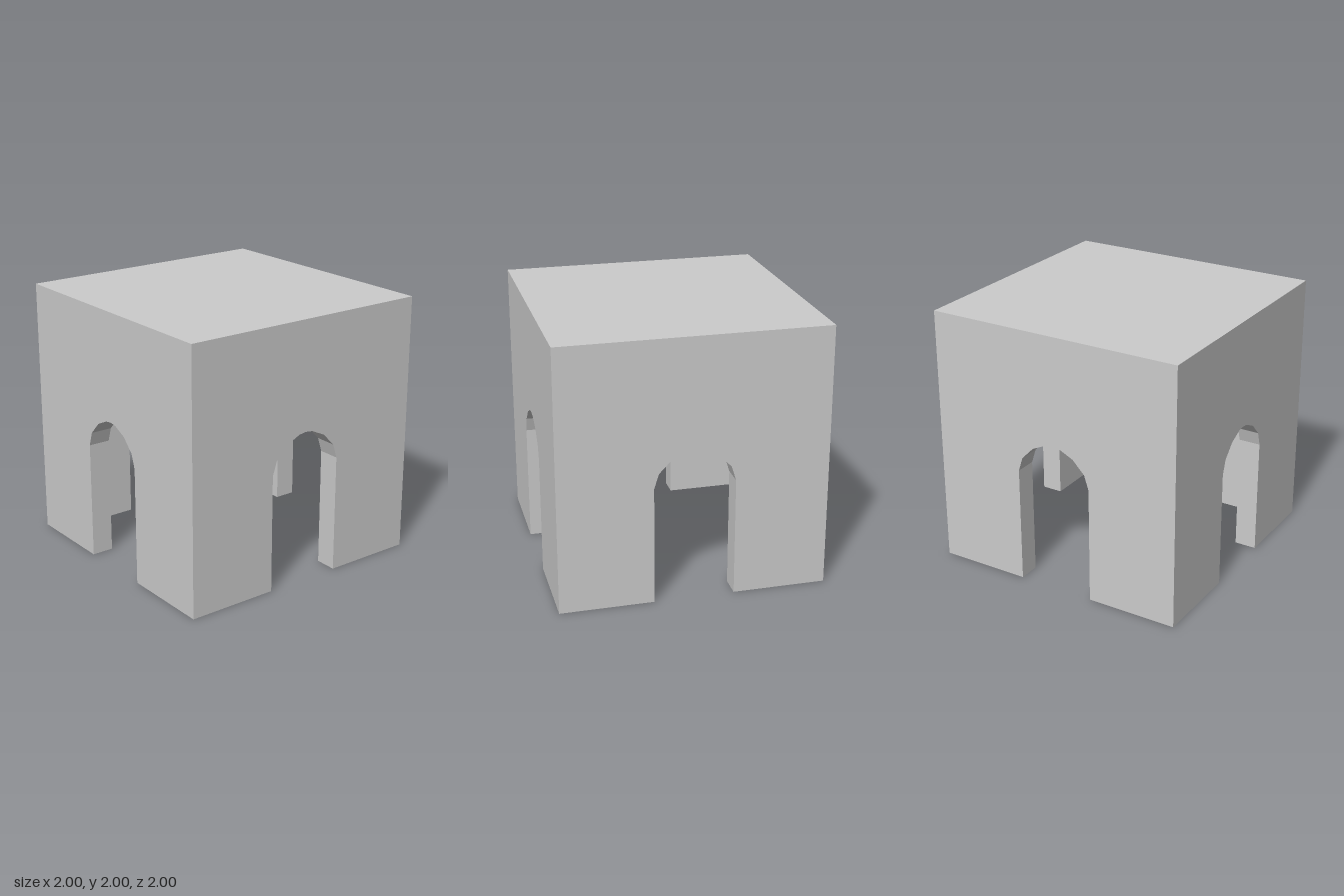
import * as THREE from 'three';

const HALF = 1, HEIGHT = 2;      // outer half width and height
const WALL = 0.167;              // wall thickness
const INNER = HALF - WALL;       // inner half width
const CEILING = 1.86;            // height of the inner ceiling

// Right half of the arched opening, from the ground to just before the crown
const halfArch = [[0.3, 0], [0.3, 0.9], [0.265, 1.01], [0.17, 1.108], [0.06, 1.16]];
const arch = [
  ...halfArch.map(([x, y]) => [-x, y]),
  [0, 1.168],
  ...halfArch.slice().reverse(),
];

const toShape = (points) => new THREE.Shape(points.map(([x, y]) => new THREE.Vector2(x, y)));

// Flat wall face with the arch cut up from its lower edge
function wallFace(halfWidth, height) {
  return new THREE.ShapeGeometry(toShape([
    [-halfWidth, 0], ...arch, [halfWidth, 0], [halfWidth, height], [-halfWidth, height],
  ]));
}

// Strip lining the opening through the wall's thickness
function revealGeometry() {
  const pos = [];
  for (let i = 0; i < arch.length - 1; i++) {
    const [ax, ay] = arch[i], [bx, by] = arch[i + 1];
    pos.push(ax, ay, HALF, ax, ay, INNER, bx, by, HALF);
    pos.push(bx, by, HALF, ax, ay, INNER, bx, by, INNER);
  }
  const g = new THREE.BufferGeometry();
  g.setAttribute('position', new THREE.Float32BufferAttribute(pos, 3));
  g.computeVertexNormals();
  return g;
}

export function createModel() {
  const model = new THREE.Group();
  model.name = 'archedPavilion';
  const material = new THREE.MeshStandardMaterial({ color: 0xcccccc, flatShading: true });

  const add = (parent, name, geometry) => {
    const mesh = new THREE.Mesh(geometry, material);
    mesh.name = name;
    parent.add(mesh);
  };

  // Undersides of the wall on both sides of the opening, mitred at the corners
  const foot = toShape([[0.3, INNER], [INNER, INNER], [HALF, HALF], [0.3, HALF]]);
  const footMirror = toShape([[-0.3, HALF], [-HALF, HALF], [-INNER, INNER], [-0.3, INNER]]);

  const outer = wallFace(HALF, HEIGHT).translate(0, 0, HALF);
  const inner = wallFace(INNER, CEILING).rotateY(Math.PI).translate(0, 0, INNER);
  const reveal = revealGeometry();
  const feet = new THREE.ShapeGeometry([foot, footMirror]).rotateX(Math.PI / 2);

  // Four identical walls around the hollow room
  ['frontWall', 'leftWall', 'backWall', 'rightWall'].forEach((name, i) => {
    const wall = new THREE.Group();
    wall.name = name;
    add(wall, 'outerFace', outer);
    add(wall, 'innerFace', inner);
    add(wall, 'archReveal', reveal);
    add(wall, 'wallBase', feet);
    wall.rotation.y = i * Math.PI / 2;
    model.add(wall);
  });

  // Flat roof and the ceiling beneath it
  add(model, 'roof', new THREE.PlaneGeometry(2 * HALF, 2 * HALF)
    .rotateX(-Math.PI / 2).translate(0, HEIGHT, 0));
  add(model, 'ceiling', new THREE.PlaneGeometry(2 * INNER, 2 * INNER)
    .rotateX(Math.PI / 2).translate(0, CEILING, 0));

  return model;
}
